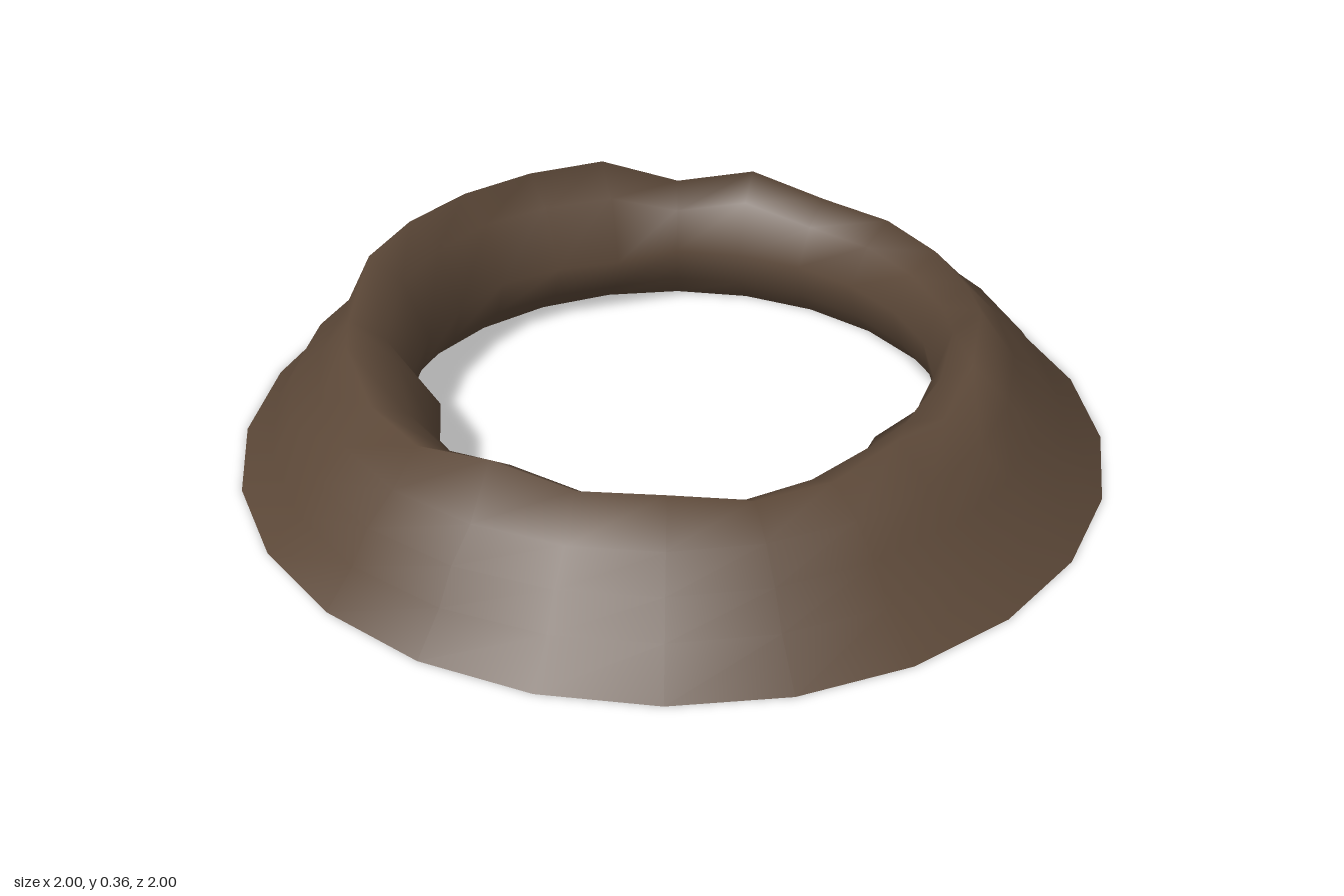
import * as THREE from 'three';

const SIDES = 24;

// Height of the ragged crest at each step around the ring, from +x towards +z
const CREST = [
  0.295, 0.26, 0.26, 0.295, 0.295, 0.33, 0.295, 0.295, 0.335, 0.295, 0.36, 0.36,
  0.36, 0.36, 0.36, 0.295, 0.335, 0.295, 0.295, 0.295, 0.3, 0.335, 0.3, 0.26,
];

// Radius of the narrowest point of the opening at each step
const THROAT = [
  0.56, 0.54, 0.57, 0.58, 0.6, 0.6, 0.6, 0.585, 0.54, 0.6, 0.6, 0.6,
  0.605, 0.585, 0.565, 0.61, 0.61, 0.61, 0.61, 0.61, 0.61, 0.6, 0.57, 0.52,
];

// Cross-section of the rim, from the outer foot over the crest to the inner foot
function section(k) {
  const a = (k / SIDES) * Math.PI * 2;
  const lean = Math.max(0, Math.cos(a)); // the +x side leans inwards
  const top = CREST[k];
  const throat = THROAT[k];
  const crestR = 0.74 - 0.06 * lean;
  return [
    [1, 0],
    [0.925 - 0.03 * lean, 0.08],
    [0.88 - 0.04 * lean, 0.155],
    [0.81 - 0.04 * lean, 0.215],
    [crestR, top],
    [(crestR + throat) / 2 - 0.01, top * 0.84],
    [throat, 0.16],
    [throat * 0.6 + 0.265, 0.07],
    [0.69, 0],
  ];
}

function rimGeometry() {
  const positions = [];
  const index = [];
  const n = section(0).length;
  for (let k = 0; k < SIDES; k++) {
    const a = (k / SIDES) * Math.PI * 2;
    for (const [r, y] of section(k)) positions.push(r * Math.cos(a), y, r * Math.sin(a));
    const next = (k + 1) % SIDES;
    for (let j = 0; j < n - 1; j++) {
      const p = k * n + j;
      const q = next * n + j;
      index.push(p, p + 1, q, q, p + 1, q + 1);
    }
  }
  const geometry = new THREE.BufferGeometry();
  geometry.setAttribute('position', new THREE.Float32BufferAttribute(positions, 3));
  geometry.setIndex(index);
  geometry.computeVertexNormals();
  return geometry;
}

export function createModel() {
  const earth = new THREE.MeshStandardMaterial({ color: 0x5c4838, side: THREE.DoubleSide });
  earth.name = 'earthBrown';

  const group = new THREE.Group();
  group.name = 'crater';

  // Open shell of raised earth
  const rim = new THREE.Mesh(rimGeometry(), earth);
  rim.name = 'craterRim';
  group.add(rim);
  return group;
}
